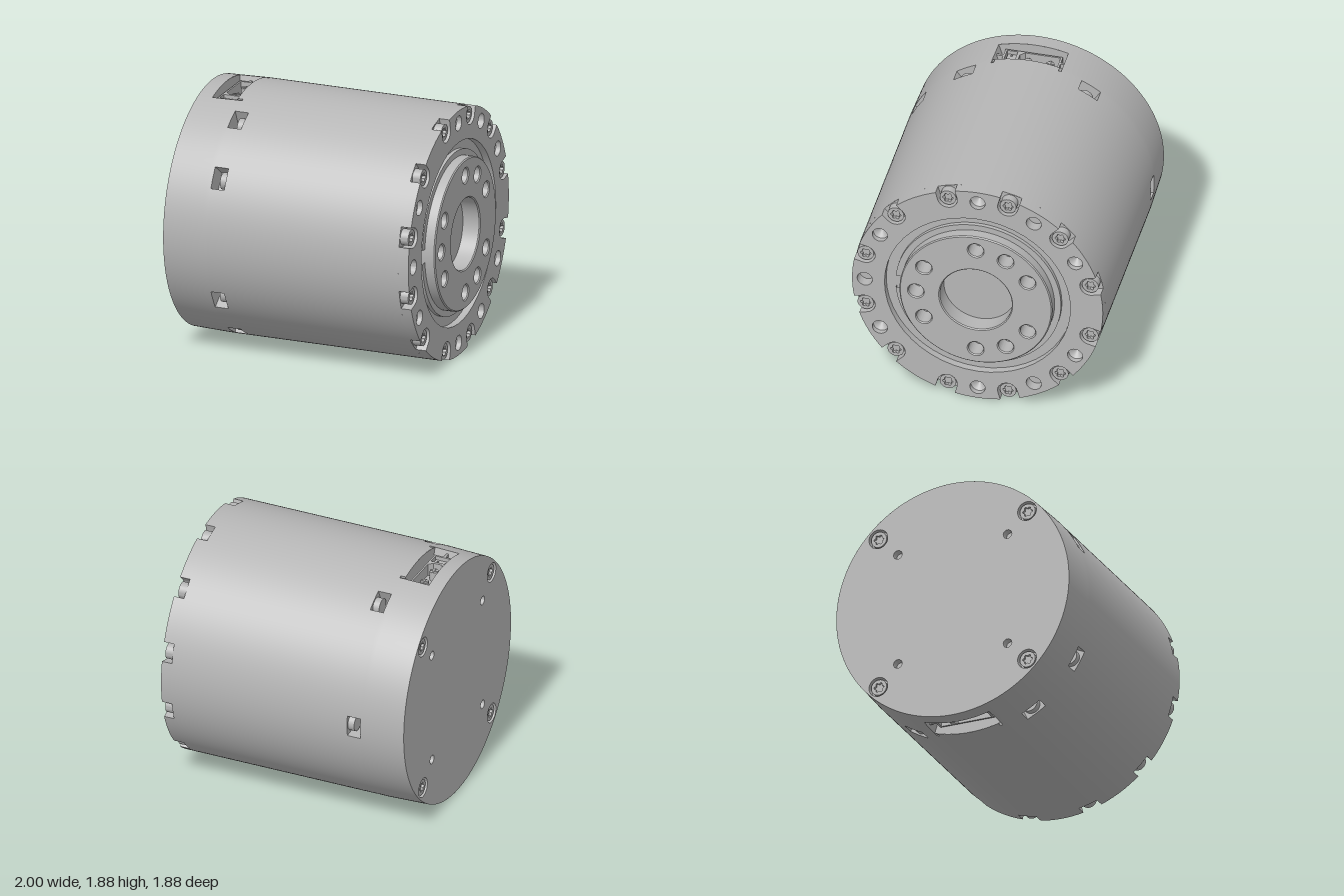
import * as THREE from 'three';
import { toCreasedNormals } from 'three/addons/utils/BufferGeometryUtils.js';
import { ParametricGeometry } from 'three/addons/geometries/ParametricGeometry.js';

const R = 0.94, RAD = Math.PI / 180;
const metal = new THREE.MeshStandardMaterial({ color: 0xb6b6b6, side: THREE.DoubleSide });
metal.name = 'grey metal';

// Angles run from the top (+y) towards the front (+z) around the x axis.
const polar = (a, r, x = 0) => new THREE.Vector3(x, r * Math.cos(a * RAD), r * Math.sin(a * RAD));
// End-face shapes are drawn flat, then turned so that their depth runs along +x.
const flat = (a, r) => new THREE.Vector2(-r * Math.sin(a * RAD), r * Math.cos(a * RAD));

function add(parent, name, geometry) {
  const mesh = new THREE.Mesh(geometry, metal);
  mesh.name = name;
  parent.add(mesh);
  return mesh;
}

function circle(r, p = new THREE.Vector2(), Kind = THREE.Path) {
  return new Kind().absarc(p.x, p.y, r, 0, Math.PI * 2);
}

function extrudeX(shape, x0, x1, bevel = 0, segments = 24) {
  const g = new THREE.ExtrudeGeometry(shape, {
    depth: x1 - x0 - 2 * bevel, curveSegments: segments, bevelEnabled: bevel > 0,
    bevelSize: bevel, bevelThickness: bevel, bevelOffset: -bevel, bevelSegments: 1,
  });
  g.translate(0, 0, x0 + bevel).rotateY(Math.PI / 2);
  return toCreasedNormals(g, 0.6);
}

const disc = (r, x) => new THREE.CircleGeometry(r, 96).rotateY(Math.PI / 2).translate(x, 0, 0);

// Openings in the casing: [angle from, angle to, x from, x to]
const windows = [30, 60, 120, 150, 210, 270, 330].map(a => [a - 5, a + 5, -0.655, -0.55]);
const sockets = [0, 180];
const socketCuts = sockets.map(a => [a - 15, a + 17.5, -0.885, -0.69]);
const armCuts = sockets.flatMap(a => [
  [a - 15, a - 13.75, -0.69, -0.65], [a + 16.25, a + 17.5, -0.69, -0.65]]);
const cuts = [...windows, ...socketCuts, ...armCuts];

const casingRadius = x => (x < -0.69 ? R - 0.01 * (-0.69 - x) / 0.31 : R);

// Curved casing skin, leaving out the cells inside the openings
function casingGeometry() {
  const xs = [-1, -0.885, -0.69, -0.655, -0.65, -0.55, 0.865];
  const n = 288, step = 360 / n, pos = [], index = [];
  for (const x of xs) for (let i = 0; i < n; i++) pos.push(...polar(i * step, casingRadius(x), x));
  for (let j = 0; j < xs.length - 1; j++) {
    for (let i = 0; i < n; i++) {
      const x = (xs[j] + xs[j + 1]) / 2, mid = (i + 0.5) * step;
      const open = cuts.some(([a0, a1, x0, x1]) =>
        x > x0 && x < x1 && [mid, mid - 360].some(a => a > a0 && a < a1));
      if (open) continue;
      const k = (i + 1) % n, a = j * n + i, b = j * n + k, c = b + n, d = a + n;
      index.push(a, b, c, a, c, d);
    }
  }
  const g = new THREE.BufferGeometry();
  g.setAttribute('position', new THREE.Float32BufferAttribute(pos, 3));
  g.setIndex(index);
  g.computeVertexNormals();
  return g;
}

// Four walls and a floor sunk below an opening
function addPocket(parent, name, [a0, a1, x0, x1], floor) {
  const lerp = THREE.MathUtils.lerp;
  const panel = (f, part) => add(parent, name + part,
    new ParametricGeometry((u, v, t) => t.copy(f(u, v)), 10, 1));
  panel((u, v) => polar(lerp(a0, a1, u), floor, lerp(x0, x1, v)), 'Floor');
  for (const x of [x0, x1])
    panel((u, v) => polar(lerp(a0, a1, u), lerp(floor, casingRadius(x), v), x), 'EndWall');
  for (const a of [a0, a1])
    panel((u, v) => { const x = lerp(x0, x1, u); return polar(a, lerp(floor, casingRadius(x), v), x); }, 'SideWall');
}

// Screw head with a six-lobed socket, its top at depth x1
function addScrew(parent, angle, r, x0, x1, backwards) {
  const head = circle(0.061, undefined, THREE.Shape);
  const star = [];
  for (let i = 0; i < 48; i++) {
    const a = i / 48 * Math.PI * 2, s = 0.034 + 0.006 * Math.cos(6 * a);
    star.push(new THREE.Vector2(s * Math.cos(a), s * Math.sin(a)));
  }
  head.holes.push(new THREE.Path(star));
  const screw = new THREE.Group();
  screw.name = 'screw';
  add(screw, 'screwHead', extrudeX(head, x0, x1));
  add(screw, 'screwSocketFloor', disc(0.045, backwards ? x0 + 0.02 : x1 - 0.025));
  const p = polar(angle, r);
  screw.position.set(0, p.y, p.z);
  parent.add(screw);
}

// Front flange outline: a circle with twelve round-bottomed notches
function flangeShape() {
  const w = 0.075, c = 0.872, edge = Math.asin(w / R) / RAD, pts = [];
  for (let k = 0; k < 12; k++) {
    const a = 15 + 30 * k, out = flat(a, 1), side = flat(a + 90, 1);
    const at = (t, r) => out.clone().multiplyScalar(r).addScaledVector(side, t);
    pts.push(flat(a - edge, R));
    for (let i = 0; i <= 12; i++) {
      const f = Math.PI * i / 12;
      pts.push(at(-w * Math.cos(f), c - w * Math.sin(f)));
    }
    for (let i = 0; i < 10; i++) pts.push(flat(a + edge + (30 - 2 * edge) * i / 10, R));
  }
  return new THREE.Shape(pts);
}

// Recessed plug: housing with two cavities, two round pins, two small pins
function addConnector(parent, angle) {
  const g = new THREE.Group();
  g.name = 'connector';
  const rect = (x0, x1, z0, z1, Kind = THREE.Path) => new Kind([[x0, z0], [x1, z0], [x1, z1], [x0, z1]]
    .map(([x, z]) => new THREE.Vector2(x, -z)));
  const housing = rect(-0.87, -0.715, -0.205, 0.225, THREE.Shape);
  housing.holes.push(new THREE.Path([
    [-0.857, -0.19], [-0.728, -0.19], [-0.728, 0.075], [-0.76, 0.108], [-0.825, 0.108], [-0.857, 0.075],
  ].map(([x, z]) => new THREE.Vector2(x, -z))), rect(-0.857, -0.728, 0.13, 0.21));
  add(g, 'connectorHousing', new THREE.ExtrudeGeometry(housing, { depth: 0.1, bevelEnabled: false })
    .rotateX(-Math.PI / 2).translate(0, 0.77, 0));
  for (const z of [-0.125, 0.04]) {
    add(g, 'roundPin', new THREE.CylinderGeometry(0.032, 0.032, 0.08, 24).translate(-0.795, 0.81, z));
    for (const turn of [0, 1])
      add(g, 'pinCross', new THREE.BoxGeometry(turn ? 0.06 : 0.008, 0.006, turn ? 0.008 : 0.06)
        .translate(-0.795, 0.852, z));
  }
  add(g, 'signalBlock', new THREE.BoxGeometry(0.115, 0.07, 0.065).translate(-0.7925, 0.81, 0.17));
  for (const x of [-0.83, -0.763])
    add(g, 'signalPin', new THREE.BoxGeometry(0.014, 0.08, 0.014).translate(x, 0.812, 0.17));
  for (const z of [-0.222, 0.25])
    add(g, 'keyRib', new THREE.BoxGeometry(0.018, 0.1, 0.05).translate(-0.795, 0.82, z));
  g.rotation.x = angle * RAD;
  parent.add(g);
}

export function createModel() {
  const model = new THREE.Group();
  model.name = 'actuator';
  const body = new THREE.Group();
  body.name = 'body';
  body.position.y = R;
  model.add(body);

  // Casing with side windows, each showing a bolt head
  add(body, 'casing', casingGeometry());
  for (const w of windows) {
    addPocket(body, 'window', w, 0.79);
    const p = polar((w[0] + w[1]) / 2, 0.865, -0.575);
    add(body, 'windowBolt', new THREE.CylinderGeometry(0.063, 0.063, 0.05, 28).rotateZ(Math.PI / 2)
      .translate(p.x, p.y, p.z));
  }
  socketCuts.forEach(c => addPocket(body, 'connectorPocket', c, 0.78));
  armCuts.forEach(c => addPocket(body, 'connectorArm', c, 0.88));
  sockets.forEach(a => addConnector(body, a));

  // Flange with blind holes and rim screws
  const flange = flangeShape();
  flange.holes.push(circle(0.697));
  for (const a of [0, 60, 120, 180, 240, 300, 90, 210, 330]) flange.holes.push(circle(0.057, flat(a, 0.845)));
  add(body, 'flange', extrudeX(flange, 0.865, 0.945));
  add(body, 'flangeFloor', disc(R, 0.865));
  for (let a = 0; a < 360; a += 60) {
    const p = polar(a, 0.845, 0.887);
    add(body, 'drillTip', new THREE.ConeGeometry(0.057, 0.04, 24, 1, true).rotateZ(Math.PI / 2)
      .translate(p.x, p.y, p.z));
  }
  for (let a = 15; a < 360; a += 30) addScrew(body, a, 0.872, 0.865, 0.928);

  // Recess floor and notched seal ring around the hub
  const lathe = (pts, start, length) => toCreasedNormals(new THREE.LatheGeometry(
    pts.map(([r, x]) => new THREE.Vector2(r, x)), 96, start, length).rotateZ(-Math.PI / 2), 0.6);
  add(body, 'recessFloor', lathe([[0.7, 0.89], [0.56, 0.89]], 0, Math.PI * 2));
  add(body, 'sealRing', lathe([[0.62, 0.89], [0.62, 0.92], [0.565, 0.92]], 0.087, Math.PI * 2 - 0.174));

  // Output hub with centre bore and bolt circle
  const hub = circle(0.573, undefined, THREE.Shape);
  hub.holes.push(circle(0.27));
  for (const a of [0, 60, 90, 120, 180, 210, 240, 300, 330]) hub.holes.push(circle(0.056, flat(a, 0.449)));
  add(body, 'hub', extrudeX(hub, 0.855, 1, 0.008, 48));

  // Rear cover with four screws and four small holes
  const cover = circle(0.93, undefined, THREE.Shape);
  for (const a of [45, 135, 225, 315])
    cover.holes.push(circle(0.075, flat(a, 0.84)), circle(0.034, flat(a, 0.62)));
  add(body, 'rearCover', extrudeX(cover, -1, -0.94, 0, 64));
  add(body, 'rearFloor', disc(0.93, -0.94).scale(1, 1, 1));
  for (const a of [45, 135, 225, 315]) addScrew(body, a, 0.84, -0.99, -0.94, true);
  return model;
}
